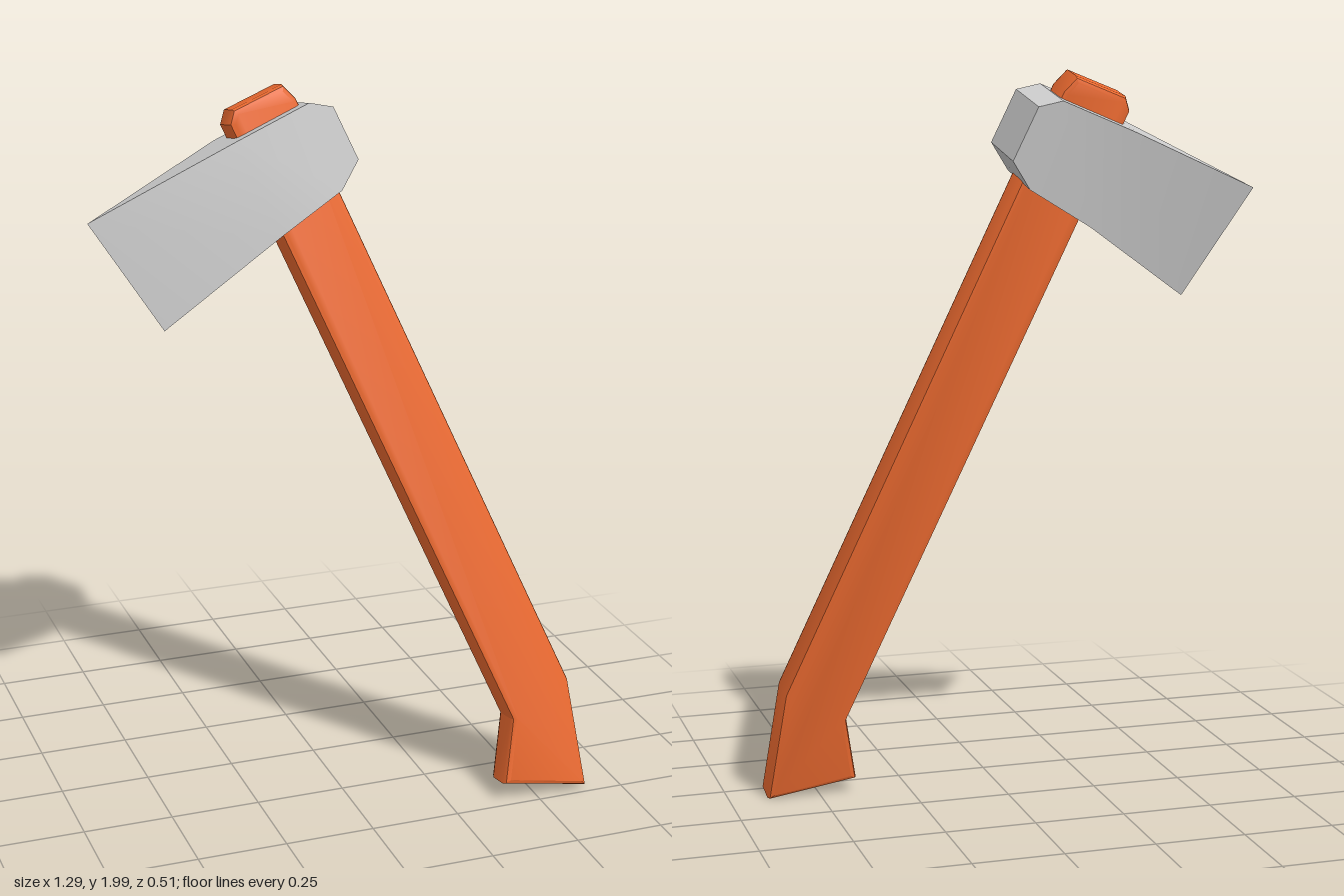
import * as THREE from 'three';
import { toCreasedNormals } from 'three/addons/utils/BufferGeometryUtils.js';

const LEAN = 0.188; // the whole axe leans back by this angle
const up = (y) => y / Math.cos(LEAN); // height above ground -> length along the leaning plane

// Handle: outline with a kicked-out grip and chamfered top, bevelled all round
function createHandle() {
  const outline = [
    [0.397, 0.055], [0.645, 0.014], [0.606, 0.325], [-0.08, 1.955],
    [-0.115, 1.992], [-0.255, 1.937], [-0.268, 1.9], [0.43, 0.235],
  ];
  const shape = new THREE.Shape(outline.map(([x, y]) => new THREE.Vector2(x, up(y))));
  const thickness = 0.104, bevel = 0.018;
  const geometry = new THREE.ExtrudeGeometry(shape, {
    depth: thickness - 2 * bevel,
    bevelThickness: bevel,
    bevelSize: 0.015,
    bevelOffset: -0.015,
    bevelSegments: 2,
  });
  geometry.translate(0, 0, bevel - thickness / 2);
  const material = new THREE.MeshStandardMaterial({ color: 0xec6a30 });
  const mesh = new THREE.Mesh(toCreasedNormals(geometry, 0.5), material);
  mesh.name = 'handle';
  return mesh;
}

// Head: rectangular sections from the cutting edge to the poll
function createHead() {
  const sections = [
    // top x, top y, bottom x, bottom y, half thickness
    [-0.65, 1.68, -0.468, 1.39, 0],
    [-0.27, 1.858, -0.16, 1.613, 0.1],
    [-0.065, 1.942, 0.01, 1.715, 0.1],
    [0.0, 1.928, 0.06, 1.79, 0.1],
  ];
  const positions = [];
  for (const [tx, ty, bx, by, h] of sections) {
    positions.push(tx, up(ty), h, bx, up(by), h, bx, up(by), -h, tx, up(ty), -h);
  }
  const index = [];
  for (let i = 0; i < sections.length - 1; i++) {
    for (let j = 0; j < 4; j++) {
      const k = (j + 1) % 4;
      const a = i * 4 + j, b = i * 4 + k, c = b + 4, d = a + 4;
      // top and bottom taper to a point at the cutting edge
      if (i > 0 || j % 2 === 0) index.push(a, b, c);
      index.push(a, c, d);
    }
  }
  const e = (sections.length - 1) * 4;
  index.push(e, e + 1, e + 2, e, e + 2, e + 3); // poll face
  const geometry = new THREE.BufferGeometry();
  geometry.setAttribute('position', new THREE.Float32BufferAttribute(positions, 3));
  geometry.setIndex(index);
  const material = new THREE.MeshStandardMaterial({ color: 0xcccccc });
  const mesh = new THREE.Mesh(toCreasedNormals(geometry, 0.5), material);
  mesh.name = 'axeHead';
  return mesh;
}

export function createModel() {
  const axe = new THREE.Group();
  axe.name = 'axe';
  axe.add(createHandle(), createHead());
  axe.rotation.x = -LEAN;
  axe.position.z = 0.2;

  const model = new THREE.Group();
  model.name = 'model';
  model.add(axe);
  return model;
}
